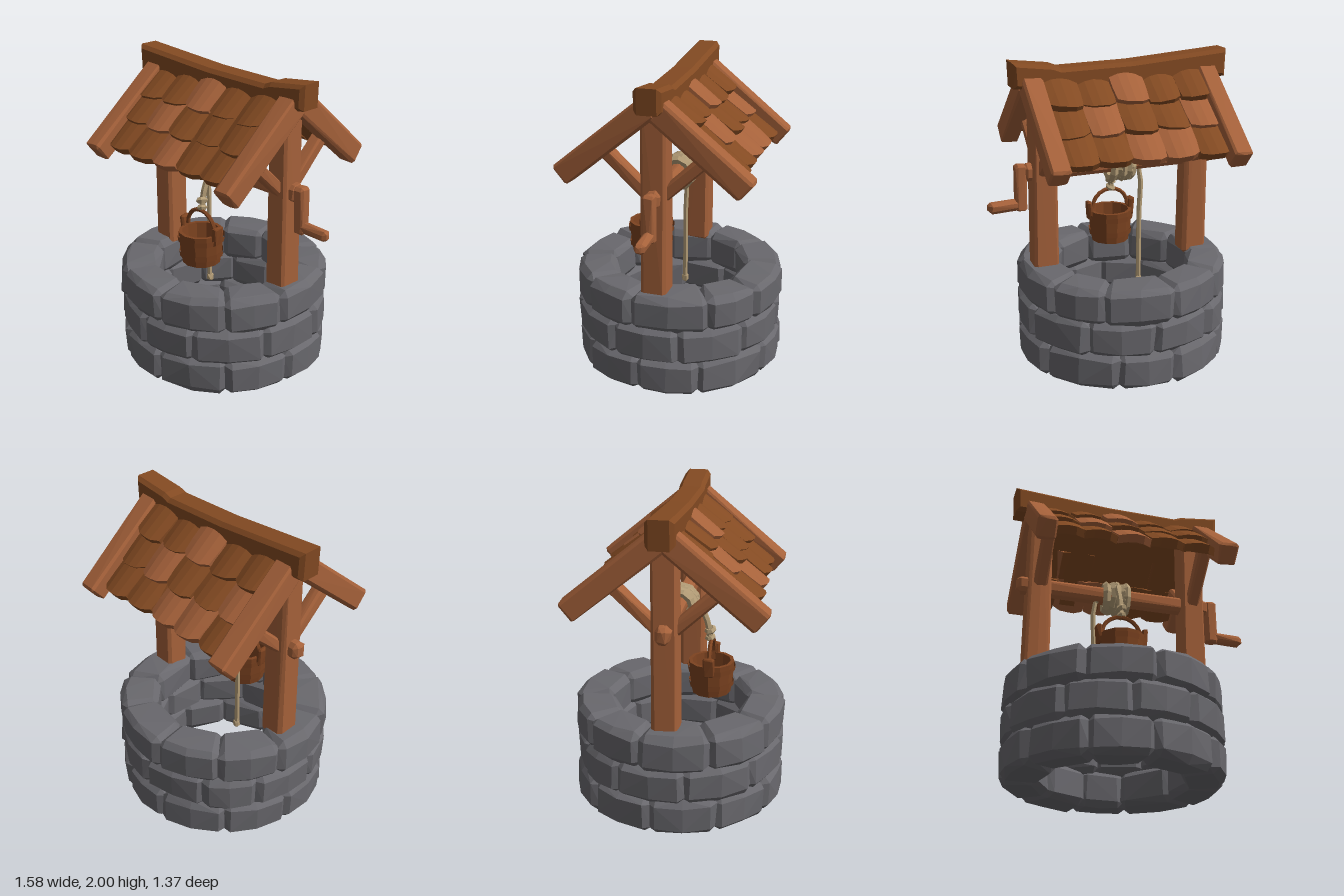
import * as THREE from 'three';
import { ConvexGeometry } from 'three/addons/geometries/ConvexGeometry.js';

const mat = (name, color) => {
  const m = new THREE.MeshStandardMaterial({ color });
  m.name = name;
  return m;
};

export function createModel() {
  const stone = mat('stone grey', 0x69686d);
  const wood = mat('light wood', 0xa5613a);
  const dark = mat('dark wood', 0x834a22);
  const bucketWood = mat('bucket wood', 0x7d4320);
  bucketWood.side = THREE.DoubleSide;
  const rope = mat('rope', 0xb39c76);
  const model = new THREE.Group();

  let seed = 11;
  const rand = (a = -1, b = 1) => {
    seed = (seed * 16807) % 2147483647;
    return a + (b - a) * (seed / 2147483647);
  };

  const add = (name, geometry, material, parent = model) => {
    const mesh = new THREE.Mesh(geometry, material);
    mesh.name = name;
    parent.add(mesh);
    return mesh;
  };

  const flat = (g) => {
    const f = g.index ? g.toNonIndexed() : g;
    f.computeVertexNormals();
    return f;
  };

  // Faceted block with chamfered corners; map can bend its points
  const block = (w, h, d, c, map = (p) => p, jitter = 0.005, cx = c) => {
    const [x, y, z] = [w / 2, h / 2, d / 2];
    const pts = [];
    const put = (a, b, e) => pts.push(map(new THREE.Vector3(
      a + rand() * jitter, b + rand() * jitter, e + rand() * jitter)));
    for (const i of [-1, 1]) for (const j of [-1, 1]) {
      for (const k of [-1, 1]) {
        put(i * x, j * (y - c), k * (z - c));
        put(i * (x - cx), j * y, k * (z - c));
        put(i * (x - cx), j * (y - c), k * z);
      }
      put(0, i * (y - c), j * z);
      put(0, i * y, j * (z - c));
    }
    return new ConvexGeometry(pts);
  };

  // Beam between two points, w along its side and h deep
  const beam = (name, a, b, w, h, material, c = 0.014) => {
    const from = new THREE.Vector3(...a), to = new THREE.Vector3(...b);
    const mesh = add(name, block(w, h, from.distanceTo(to), c), material);
    mesh.position.copy(from).add(to).multiplyScalar(0.5);
    mesh.lookAt(to);
    return mesh;
  };

  // Well wall: three staggered rings of bent stones
  const centre = -0.1;
  const wall = new THREE.Group();
  wall.name = 'stoneWall';
  model.add(wall);
  for (let row = 0; row < 3; row++) {
    const count = 10;
    const start = [0.19, -0.09, 0.15][row];
    const edges = [];
    for (let i = 0; i < count; i++) {
      edges.push(start + (i + rand(-0.12, 0.12)) * Math.PI * 2 / count);
    }
    edges.push(edges[0] + Math.PI * 2);
    for (let i = 0; i < count; i++) {
      const mid = (edges[i] + edges[i + 1]) / 2;
      const arc = edges[i + 1] - edges[i] + 0.035;
      const outer = rand(0.675, 0.695), inner = rand(0.42, 0.45);
      const y = 0.122 + row * 0.216;
      add('wallStone', block(arc, 0.238, outer - inner, 0.04, (p) => {
        const t = mid + p.x, r = (outer + inner) / 2 + p.z;
        return new THREE.Vector3(centre + Math.sin(t) * r, y + p.y, Math.cos(t) * r);
      }, 0.008, 0.075), stone, wall);
    }
  }

  // Posts, rafters and braces at both ends
  for (const [px, rx] of [[-0.605, -0.665], [0.43, 0.495]]) {
    const post = add('post', block(0.155, 1.26, 0.16, 0.02,
      (p) => new THREE.Vector3(p.x * (1 - p.y * 0.08), p.y, p.z)), wood);
    post.position.set(px, 1.26, 0);
    for (const s of [-1, 1]) {
      beam('rafter', [rx + 0.008, 1.865, s * 0.01], [rx, 1.4, s * 0.575], 0.125, 0.14, wood);
      beam('brace', [px, 1.28, s * 0.03], [px, 1.57, s * 0.34], 0.085, 0.08, wood);
    }
  }

  // Sagging ridge beam with a notch
  const outline = [[-0.765, 1.845], [-0.15, 1.825], [0.32, 1.825], [0.595, 1.855],
    [0.6, 1.967], [0.37, 1.938], [0.32, 1.918], [-0.15, 1.928], [-0.77, 1.975]];
  const ridge = add('ridgeBeam', new THREE.ExtrudeGeometry(
    new THREE.Shape(outline.map((p) => new THREE.Vector2(...p))),
    { depth: 0.12, bevelSize: 0.024, bevelThickness: 0.024, bevelSegments: 1 }), dark);
  ridge.position.z = -0.062;

  // Roof shingle: arched, thick, with a rounded lower edge at z = 0
  const shingle = () => {
    const g = new THREE.BoxGeometry(0.222, 0.052, 0.25, 4, 1, 2);
    const p = g.attributes.position;
    const skew = rand(-0.08, 0.08);
    for (let i = 0; i < p.count; i++) {
      const u = p.getX(i) / 0.111;
      const low = p.getZ(i) > 0.1;
      const curve = u * u;
      p.setY(i, p.getY(i) - 0.024 * curve);
      p.setZ(i, p.getZ(i) - 0.125 + (low ? skew * u * 0.15 - 0.035 * curve * Math.abs(u) : 0));
      if (low) p.setX(i, p.getX(i) * 0.93);
    }
    return flat(g);
  };

  // Two roof slopes, the back one turned around
  const lightTiles = { 1: [[2], [1], [2]], '-1': [[1, 2], [0, 3], [2]] };
  for (const s of [1, -1]) {
    const slope = new THREE.Group();
    slope.name = s > 0 ? 'frontRoof' : 'backRoof';
    model.add(slope);
    const board = add('roofBoard', new THREE.BoxGeometry(1.06, 0.025, 0.56), dark, slope);
    board.position.set(-0.085, 1.63, s * 0.265);
    board.rotation.x = s * 0.69;
    for (let row = 0; row < 3; row++) {
      for (let col = 0; col < 5; col++) {
        const light = lightTiles[s][row].includes(col);
        const tile = add('shingle', shingle(), light ? wood : dark, slope);
        tile.rotation.order = 'YXZ';
        tile.rotation.set(0.66 + rand() * 0.04, s > 0 ? 0 : Math.PI, rand() * 0.06);
        tile.position.set(-0.525 + col * 0.215, 1.44 + row * 0.142 + rand() * 0.01,
          s * (0.535 - row * 0.142 + rand() * 0.01));
      }
    }
  }

  // Winding axle and crank
  beam('axle', [-0.75, 1.3, 0], [0.56, 1.295, 0], 0.095, 0.11, wood, 0.025);
  beam('crankArm', [0.57, 1.345, 0], [0.575, 1.045, 0], 0.08, 0.075, wood);
  beam('crankHandle', [0.55, 1.09, 0], [0.785, 1.08, 0], 0.07, 0.07, wood, 0.02);

  // Rope wound on the axle
  for (let i = 0; i < 5; i++) {
    const loop = add('ropeCoil', flat(new THREE.TorusGeometry(0.088 + rand() * 0.007, 0.027, 5, 10)), rope);
    loop.position.set(-0.155 + i * 0.032, 1.285, 0);
    loop.rotation.set(0, Math.PI / 2 + rand() * 0.12, i);
  }

  // Hanging ropes and knot
  const cord = (name, points, r, seg) => add(name, flat(new THREE.TubeGeometry(
    new THREE.CatmullRomCurve3(points.map((p) => new THREE.Vector3(...p))), seg, r, 6)), rope);
  cord('bucketRope', [[-0.09, 1.37, 0.05], [-0.1, 1.3, 0.11], [-0.1, 1.18, 0.17], [-0.1, 1.05, 0.19]], 0.02, 8);
  cord('looseRope', [[-0.17, 1.3, 0.03], [-0.225, 1.24, 0], [-0.23, 0.9, 0], [-0.23, 0.46, 0]], 0.017, 10);
  const ropeEnd = add('looseRopeEnd', block(0.036, 0.05, 0.036, 0.008), rope);
  ropeEnd.position.set(-0.23, 0.46, 0);
  for (const [y, r] of [[1.12, 0.034], [1.07, 0.03]]) {
    const knot = add('knot', flat(new THREE.TorusGeometry(r * 0.6, r * 0.6, 5, 7)), rope);
    knot.position.set(-0.1, y, 0.19);
    knot.rotation.set(1.3, 0.4, 0);
  }

  // Bucket with hoops, ears and handle
  const bucket = new THREE.Group();
  bucket.name = 'bucket';
  bucket.position.set(-0.1, 0, 0.2);
  model.add(bucket);
  const profile = [[0, 0.71], [0.125, 0.7], [0.138, 0.78], [0.148, 0.915],
    [0.125, 0.915], [0.112, 0.74], [0, 0.74]].map((p) => new THREE.Vector2(...p));
  add('bucketBody', flat(new THREE.LatheGeometry(profile, 12)), bucketWood, bucket);
  for (const [y, r] of [[0.765, 0.139], [0.87, 0.149]]) {
    const hoop = add('hoop', flat(new THREE.CylinderGeometry(r + 0.008, r + 0.004, 0.035, 12, 1, true)), bucketWood, bucket);
    hoop.position.y = y;
    hoop.rotation.z = rand() * 0.04;
  }
  for (const s of [-1, 1]) {
    const ear = add('bucketEar', block(0.035, 0.13, 0.07, 0.01), bucketWood, bucket);
    ear.position.set(s * 0.145, 0.915, 0);
    ear.rotation.z = -s * 0.12;
  }
  const bail = add('bucketHandle', flat(new THREE.TorusGeometry(0.125, 0.014, 5, 10, Math.PI)), bucketWood, bucket);
  bail.position.y = 0.93;

  return model;
}
